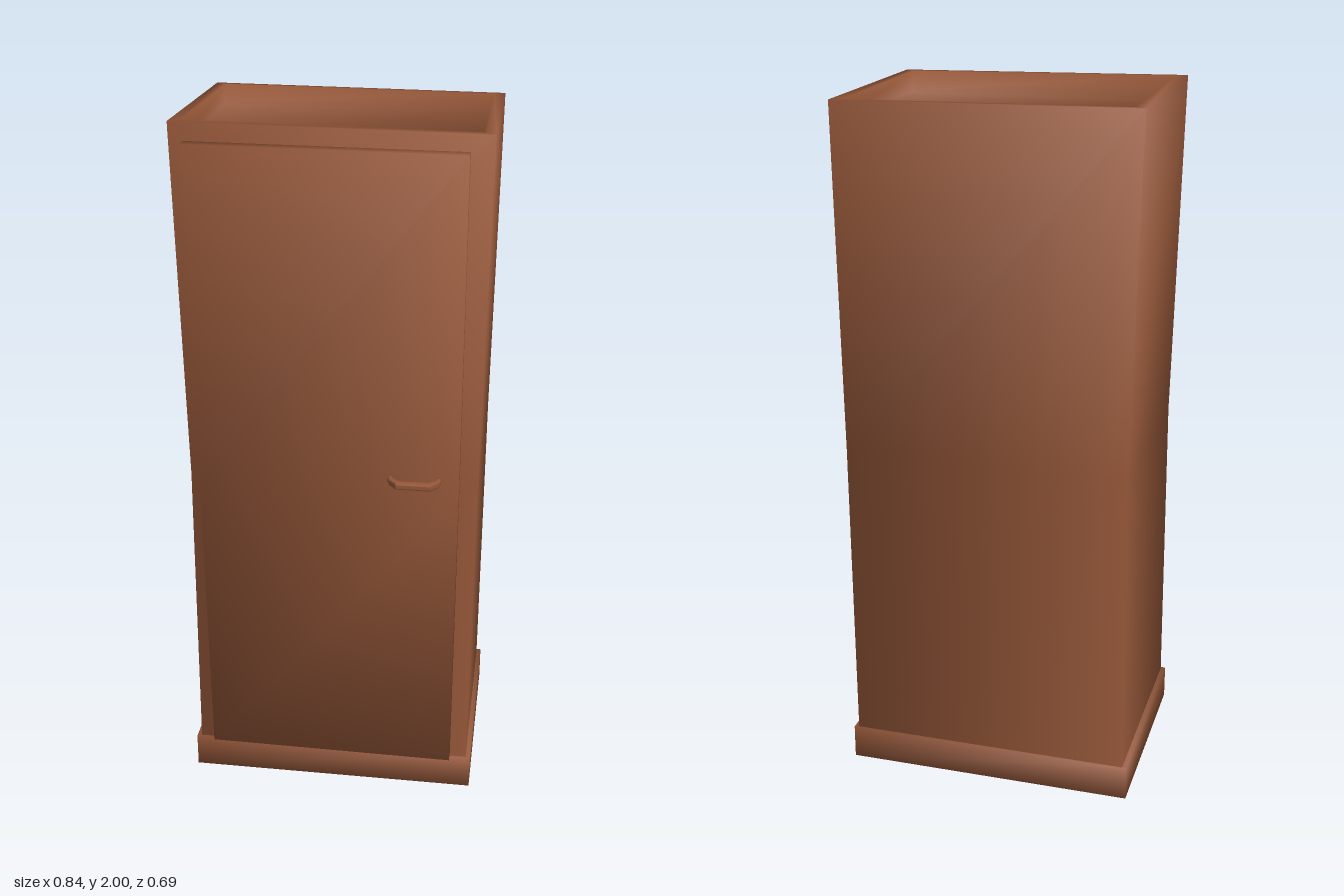
import * as THREE from 'three';

// Four corners, counter-clockwise from above: front -x, front +x, back +x, back -x
function ring(x0, x1, back, front, y) {
  const ys = Array.isArray(y) ? y : [y, y, y, y];
  return [[x0, ys[0], front], [x1, ys[1], front], [x1, ys[2], back], [x0, ys[3], back]];
}

// Smooth normals, each face weighted by its angle at the corner
function smoothNormals(points, index) {
  const v = points.map(p => new THREE.Vector3(...p));
  const normals = v.map(() => new THREE.Vector3());
  for (let t = 0; t < index.length; t += 3) {
    for (let k = 0; k < 3; k++) {
      const i = index[t + k];
      const p = v[index[t + (k + 1) % 3]].clone().sub(v[i]);
      const q = v[index[t + (k + 2) % 3]].clone().sub(v[i]);
      normals[i].addScaledVector(p.clone().cross(q).normalize(), p.angleTo(q));
    }
  }
  return normals.flatMap(n => n.normalize().toArray());
}

// Joins rings into one smooth skin, with optional end caps
function loft(rings, { capStart = false, capEnd = false } = {}) {
  const index = [];
  for (let r = 0; r < rings.length - 1; r++) {
    for (let i = 0; i < 4; i++) {
      const a = r * 4 + i, b = r * 4 + (i + 1) % 4;
      index.push(a, b, b + 4, a, b + 4, a + 4);
    }
  }
  if (capStart) index.push(0, 2, 1, 0, 3, 2);
  const e = (rings.length - 1) * 4;
  if (capEnd) index.push(e, e + 1, e + 2, e, e + 2, e + 3);
  const points = rings.flat();
  const g = new THREE.BufferGeometry();
  g.setAttribute('position', new THREE.Float32BufferAttribute(points.flat(), 3));
  g.setAttribute('normal', new THREE.Float32BufferAttribute(smoothNormals(points, index), 3));
  g.setIndex(index);
  return g;
}

export function createModel() {
  const model = new THREE.Group();
  model.name = 'cabinet';
  const wood = new THREE.MeshStandardMaterial({ color: 0x935638 });
  wood.name = 'reddish brown wood';

  function add(name, geometry) {
    const mesh = new THREE.Mesh(geometry, wood);
    mesh.name = name;
    model.add(mesh);
    return mesh;
  }

  // Body: slightly crooked walls with a shallow recessed top
  const topEdge = [2.0, 1.99, 1.977, 1.985];
  add('body', loft([
    ring(-0.408, 0.408, -0.34, 0.262, 0.09),
    ring(-0.402, 0.41, -0.34, 0.262, 1.0),
    ring(-0.423, 0.42, -0.342, 0.262, topEdge),
    ring(-0.393, 0.39, -0.32, 0.236, topEdge),
    ring(-0.393, 0.39, -0.32, 0.236, 1.93),
  ], { capEnd: true }));

  // Interior: the hollow seen through the open base, with sharp corners
  const hollow = loft([
    ring(-0.39, 0.39, -0.322, 0.24, 1.91),
    ring(-0.39, 0.39, -0.322, 0.24, 0.09),
    ring(-0.408, 0.408, -0.34, 0.262, 0.09),
  ], { capStart: true }).toNonIndexed();
  hollow.computeVertexNormals();
  add('interior', hollow);

  // Base: open frame the body stands on
  add('base', loft([
    ring(-0.381, 0.381, -0.305, 0.23, 0.1),
    ring(-0.381, 0.381, -0.305, 0.23, 0),
    ring(-0.421, 0.421, -0.345, 0.27, 0),
    ring(-0.421, 0.421, -0.345, 0.27, 0.1),
    ring(-0.381, 0.381, -0.305, 0.23, 0.1),
  ]));

  // Door: a raised slab that leans with the body
  add('door', loft([
    ring(-0.36, 0.36, 0.255, 0.3, [0.115, 0.11, 0.11, 0.115]),
    ring(-0.37, 0.36, 0.255, 0.3, 1.0),
    ring(-0.384, 0.358, 0.255, 0.3, [1.95, 1.945, 1.945, 1.95]),
  ], { capStart: true, capEnd: true }));

  // Handle: a flat bent bar, drawn from above and extruded upward
  const outline = [
    [0.162, 0.295], [0.166, 0.315], [0.19, 0.345], [0.285, 0.345], [0.308, 0.315], [0.312, 0.295],
    [0.298, 0.295], [0.295, 0.308], [0.278, 0.323], [0.198, 0.323], [0.179, 0.308], [0.176, 0.295],
  ];
  const shape = new THREE.Shape(outline.map(([x, z]) => new THREE.Vector2(x, -z)));
  const bar = new THREE.ExtrudeGeometry(shape, {
    depth: 0.01, bevelEnabled: true, bevelThickness: 0.005, bevelSize: 0.005, bevelOffset: -0.005, bevelSegments: 2,
  });
  bar.rotateX(-Math.PI / 2);
  add('handle', bar).position.y = 1.032;

  return model;
}
